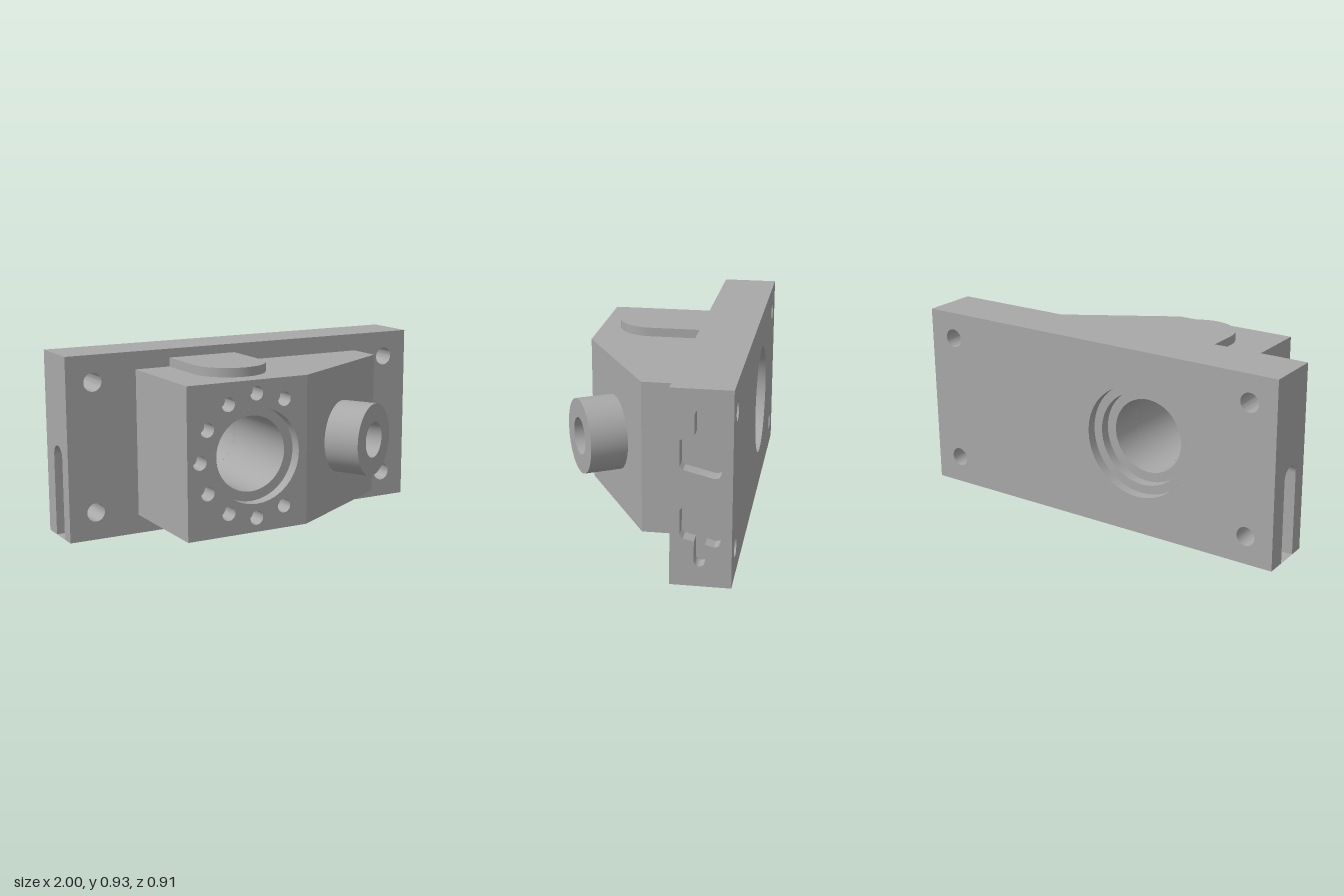
import * as THREE from 'three';
import { toCreasedNormals } from 'three/addons/utils/BufferGeometryUtils.js';

const metal = new THREE.MeshStandardMaterial({ color: 0xa8a8a8, side: THREE.DoubleSide });
metal.name = 'grey metal';

// Turn about the y or x axis so that local +z is the outward side of a face
const FRONT = [0, 0], BACK = [0, Math.PI], RIGHT = [0, Math.PI / 2], LEFT = [0, -Math.PI / 2];
const TOP = [-Math.PI / 2, 0], BOTTOM = [Math.PI / 2, 0];

const vec = ([x, y]) => new THREE.Vector2(x, y);
const rect = (x0, y0, x1, y1) => [[x0, y0], [x1, y0], [x1, y1], [x0, y1]];

function arc(cx, cy, r, from, to, n) {
  return Array.from({ length: n + 1 }, (_, i) => {
    const a = from + (to - from) * i / n;
    return [cx + r * Math.cos(a), cy + r * Math.sin(a)];
  });
}

// A round opening; depth 0 only cuts the face
function round(x, y, r, depth = 0, floor = true) {
  return { points: arc(x, y, r, 0, Math.PI * 2, 40).slice(0, -1), depth, floor };
}

function addMesh(parent, name, geometry) {
  const mesh = new THREE.Mesh(geometry, metal);
  mesh.name = name;
  parent.add(mesh);
  return mesh;
}

// Inner walls of an opening, from the face inward
function wallGeometry(points, depth) {
  const n = points.length, pos = [], index = [];
  for (const [x, y] of points) pos.push(x, y, 0, x, y, -depth);
  for (let i = 0; i < n; i++) {
    const a = 2 * i, b = 2 * ((i + 1) % n);
    index.push(a, b, a + 1, b, b + 1, a + 1);
  }
  const g = new THREE.BufferGeometry();
  g.setAttribute('position', new THREE.Float32BufferAttribute(pos, 3));
  g.setIndex(index);
  return toCreasedNormals(g, 0.5);
}

// A flat face with openings, each with its own walls and floor
function addFace(parent, name, position, [rx, ry], outline, openings = []) {
  const face = new THREE.Group();
  face.name = name;
  face.position.set(...position);
  face.rotation.set(rx, ry, 0);
  const shape = new THREE.Shape(outline.map(vec));
  for (const o of openings) {
    shape.holes.push(new THREE.Path(o.points.map(vec)));
    if (!o.depth) continue;
    addMesh(face, name + 'HoleWall', wallGeometry(o.points, o.depth));
    if (o.floor) {
      const floor = new THREE.ShapeGeometry(new THREE.Shape(o.points.map(vec)));
      addMesh(face, name + 'HoleFloor', floor).position.z = -o.depth;
    }
  }
  addMesh(face, name + 'Surface', new THREE.ShapeGeometry(shape));
  parent.add(face);
  return face;
}

// Turned part whose axis points along local +z
function turned(profile) {
  const g = new THREE.LatheGeometry(profile.map(vec), 56);
  g.rotateX(Math.PI / 2);
  return toCreasedNormals(g, 0.5);
}

const BORE = [-0.26, 0.47];

function buildPlate() {
  const plate = new THREE.Group();
  plate.name = 'basePlate';
  const h = 0.93, zb = -0.455, zf = -0.175, notch = 0.06;
  const corners = [[-0.86, 0.14], [0.86, 0.14], [-0.86, 0.795], [0.86, 0.795]];
  const bolts = depth => corners.map(([x, y]) => round(x, y, 0.047, depth, false));

  addFace(plate, 'plateFront', [0, 0, zf], FRONT, rect(-1, 0, 1, h),
    [...bolts(zf - zb), round(...BORE, 0.187)]);
  addFace(plate, 'plateBack', [0, 0, zb], BACK, rect(-1, 0, 1, h),
    [...bolts(0), round(-BORE[0], BORE[1], 0.28)]);
  addFace(plate, 'plateTop', [0, h, 0], TOP, rect(-1, -zf, 1, -zb));

  // Underside with a round socket and the end of the side slot
  addFace(plate, 'plateBottom', [0, 0, 0], BOTTOM,
    [[-1, zb], [1, zb], [1, zf], [-1, zf], [-1, -0.25], [notch - 1, -0.25], [notch - 1, -0.36], [-1, -0.36]],
    [round(0.266, -0.32, 0.093, 0.3)]);

  // Left and right mirrored pockets with a narrow rounded tail
  const pocket = [[0.22, 0.57], [0.22, 0.69], [0.235, 0.706], [0.285, 0.718],
    ...arc(0.31, 0.812, 0.025, Math.PI, 0, 10),
    [0.335, 0.729], [0.375, 0.74], [0.395, 0.735], [0.405, 0.715],
    [0.405, 0.545], [0.395, 0.527], [0.375, 0.522], [0.235, 0.556]];
  const lower = pocket.map(([x, y]) => [x, 0.935 - y]);
  addFace(plate, 'plateRightEnd', [1, 0, 0], RIGHT, rect(-zf, 0, -zb, h),
    [pocket, lower].map(points => ({ points, depth: 0.07, floor: true })));

  // Slot open at the bottom of the other end
  const slot = [[-0.36, 0], ...arc(-0.305, 0.415, 0.055, Math.PI, 0, 16), [-0.25, 0]];
  const end = addFace(plate, 'plateLeftEnd', [-1, 0, 0], LEFT,
    [[zb, 0], ...slot, [zf, 0], [zf, h], [zb, h]]);
  const walls = wallGeometry(slot, notch);
  walls.setDrawRange(0, (slot.length - 1) * 6);
  addMesh(end, 'slotWall', walls);
  const slotFloor = new THREE.ShapeGeometry(new THREE.Shape(slot.map(vec)));
  addMesh(end, 'slotFloor', slotFloor).position.z = -notch;
  return plate;
}

function buildBlock() {
  const block = new THREE.Group();
  block.name = 'housingBlock';
  const x0 = -0.63, x1 = 0.67, xs = 0.02, y0 = 0.095, y1 = 0.84;
  const zb = -0.175, zf = 0.385, zs = 0.01;
  const plan = [[x0, zb], [x1, zb], [x1, zs], [xs, zf], [x0, zf]];

  // Front with the arc of nine small holes round the bore
  const ring = Array.from({ length: 9 }, (_, i) => {
    const a = (60 + 30 * i) * Math.PI / 180;
    return round(BORE[0] + 0.305 * Math.cos(a), BORE[1] + 0.305 * Math.sin(a), 0.035, 0.1);
  });
  addFace(block, 'blockFront', [0, 0, zf], FRONT, rect(x0, y0, xs, y1),
    [...ring, round(...BORE, 0.235)]);
  addFace(block, 'blockTop', [0, y1, 0], TOP, plan.map(([x, z]) => [x, -z]));
  addFace(block, 'blockBottom', [0, y0, 0], BOTTOM, plan, [round(0.245, 0.049, 0.045, 0.3, false)]);
  addFace(block, 'blockRightSide', [x1, 0, 0], RIGHT, rect(-zs, y0, -zb, y1));
  addFace(block, 'blockLeftSide', [x0, 0, 0], LEFT, rect(zb, y0, zf, y1));

  // Sloped face carrying the hollow boss
  const cx = 0.343, t = (cx - xs) / (x1 - xs), len = Math.hypot(x1 - xs, zf - zs);
  const slope = addFace(block, 'slopedFace', [cx, 0, zf + (zs - zf) * t],
    [0, Math.atan2(zf - zs, x1 - xs)],
    rect(-len * t, y0, len * (1 - t), y1), [round(0, 0.47, 0.0925)]);
  const boss = turned([[0.185, 0], [0.185, 0.184], [0.0925, 0.184], [0.0925, -0.24], [0, -0.24]]);
  addMesh(slope, 'boss', boss).position.y = 0.47;

  // Raised pad with a rounded end
  const pad = new THREE.Shape([[-0.445, 0.175], ...arc(-0.26, -0.1, 0.185, Math.PI, 2 * Math.PI, 32),
    [-0.075, 0.175]].map(vec));
  const padGeometry = new THREE.ExtrudeGeometry(pad, { depth: 0.045, bevelEnabled: false });
  padGeometry.rotateX(-Math.PI / 2);
  addMesh(block, 'topPad', toCreasedNormals(padGeometry, 0.5)).position.y = y1;
  return block;
}

export function createModel() {
  const model = new THREE.Group();
  model.name = 'bearingHousing';
  model.add(buildPlate(), buildBlock());

  // Stepped bore through block and plate
  const bore = turned([[0.28, -0.455], [0.28, -0.405], [0.235, -0.405], [0.235, -0.355],
    [0.187, -0.355], [0.187, 0.325], [0.235, 0.325], [0.235, 0.385]]);
  addMesh(model, 'mainBore', bore).position.set(...BORE, 0);
  return model;
}
